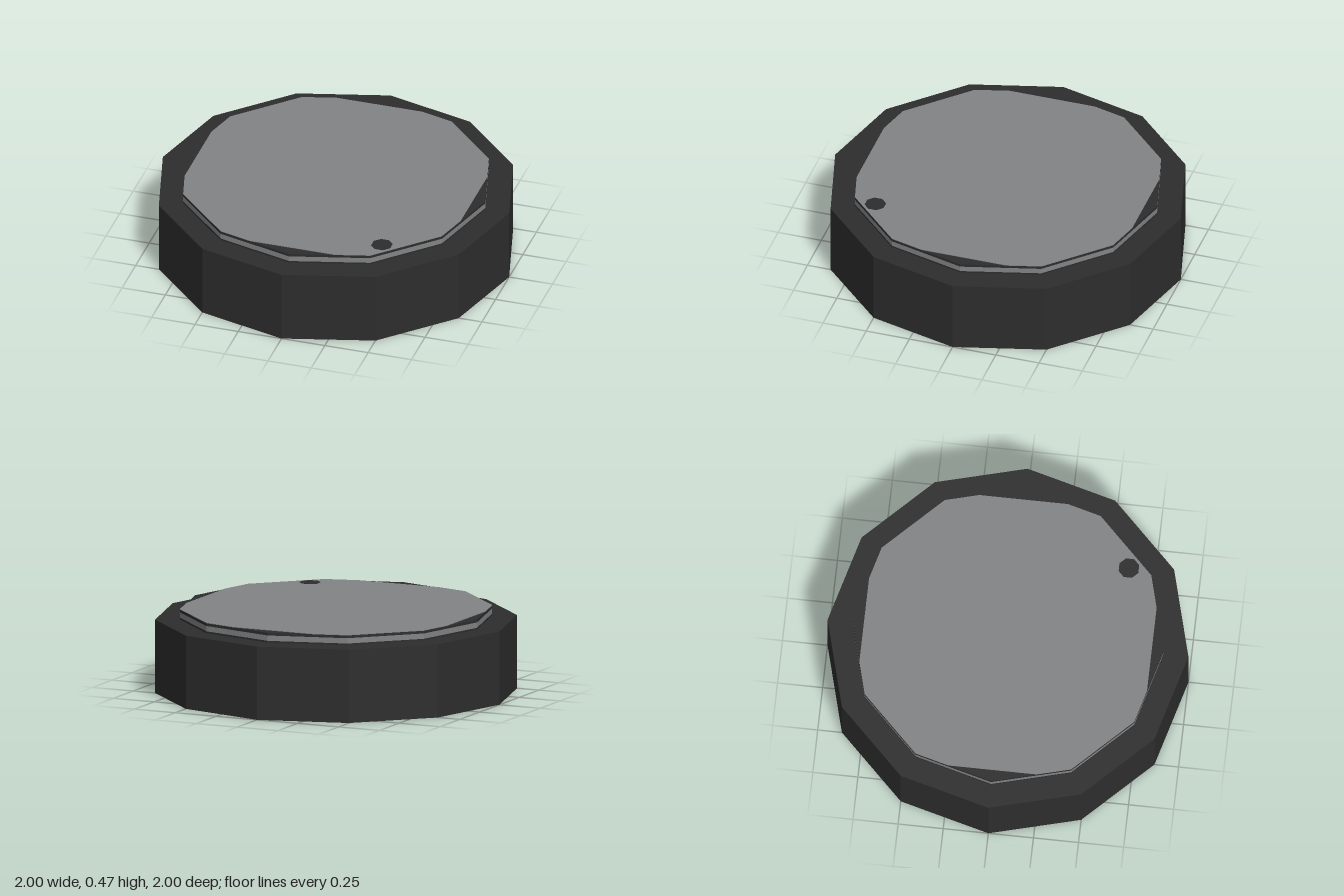
import * as THREE from 'three';

const SIDES = 12;

export function createModel() {
  const group = new THREE.Group();
  const dark = new THREE.MeshStandardMaterial({ color: 0x2d2d2d, flatShading: true });
  dark.name = 'charcoal';
  const grey = new THREE.MeshStandardMaterial({ color: 0x828385, flatShading: true });
  grey.name = 'grey';

  function add(name, geometry, material) {
    const mesh = new THREE.Mesh(geometry, material);
    mesh.name = name;
    group.add(mesh);
    return mesh;
  }

  // Twelve-sided drum standing between two heights
  function drum(name, radius, y0, y1, material) {
    const mesh = add(name, new THREE.CylinderGeometry(radius, radius, y1 - y0, SIDES), material);
    mesh.position.y = (y0 + y1) / 2;
  }

  drum('body', 1, 0, 0.41, dark);
  drum('lowerRim', 0.863, 0.41, 0.42, dark);
  drum('rimBand', 0.863, 0.42, 0.45, grey);
  drum('upperRim', 0.863, 0.45, 0.465, dark);

  // Top plate: the rim outline with its four axis corners cut off
  const quarter = [[0.797, 0.246], [0.747, 0.432], [0.432, 0.747], [0.246, 0.797]];
  const outline = [];
  for (let i = 0; i < 4; i++) {
    for (const [x, y] of quarter) {
      outline.push(new THREE.Vector2(x, y).rotateAround(new THREE.Vector2(), i * Math.PI / 2));
    }
  }
  const plate = new THREE.ExtrudeGeometry(new THREE.Shape(outline), { depth: 0.003, bevelEnabled: false });
  plate.rotateX(-Math.PI / 2);
  add('topPlate', plate, grey).position.y = 0.465;

  // Small octagonal indicator near the front edge
  const dot = add('indicator', new THREE.CylinderGeometry(0.059, 0.059, 0.003, 8), dark);
  dot.rotation.y = Math.PI / 8;
  dot.position.set(0.46, 0.4685, 0.62);

  return group;
}
